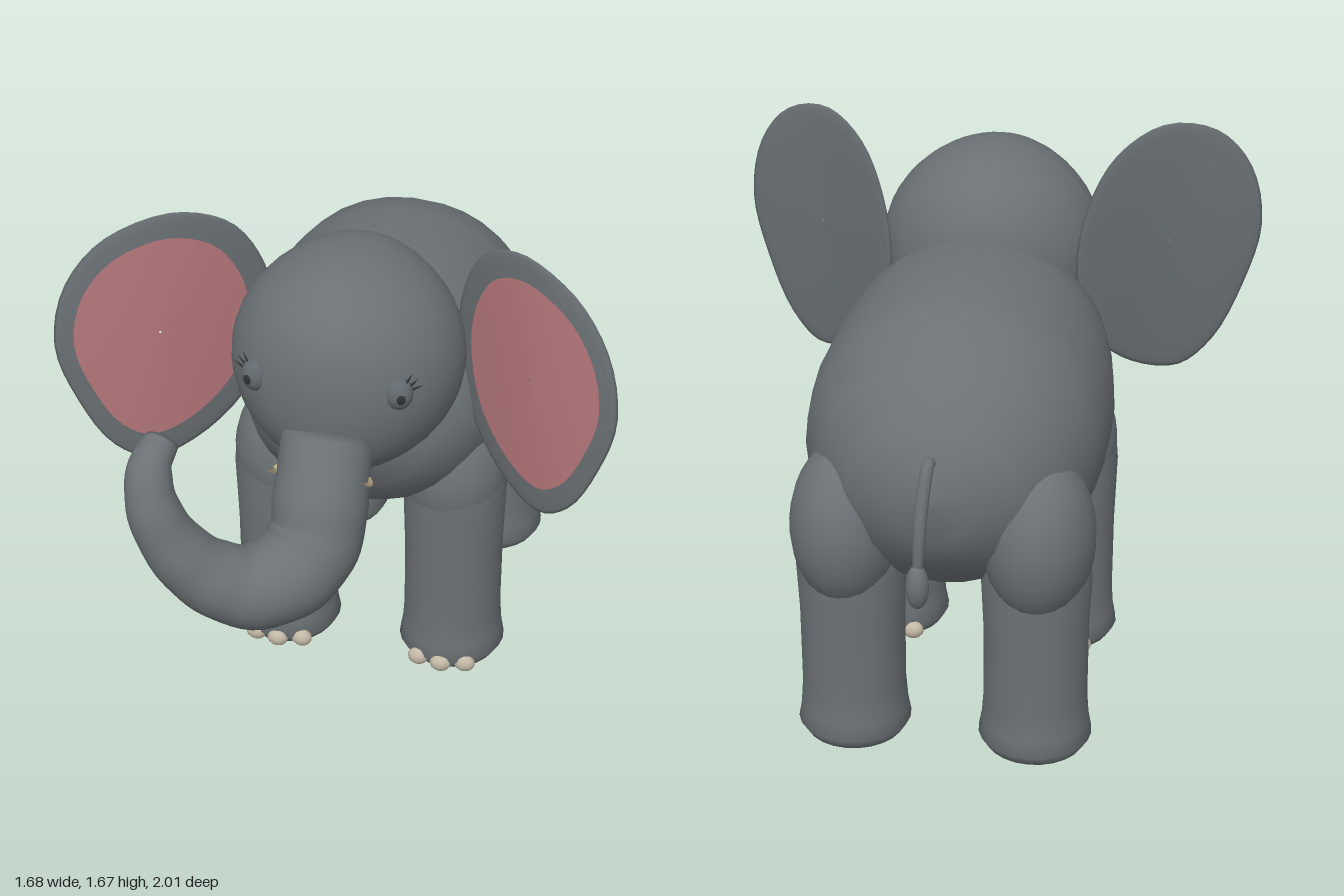
import * as THREE from 'three';

const V = (x, y, z) => new THREE.Vector3(x, y, z);
const mat = (name, color, side = THREE.FrontSide) => {
  const m = new THREE.MeshStandardMaterial({ color, side });
  m.name = name;
  return m;
};

// Skin over a list of closed rings, each counter-clockwise about the sweep direction
function loft(rings, caps = true) {
  const n = rings[0].length, pts = rings.flat(), index = [];
  for (let i = 0; i < rings.length - 1; i++) {
    for (let k = 0; k < n; k++) {
      const a = i * n + k, b = i * n + (k + 1) % n;
      index.push(a, b, a + n, b, b + n, a + n);
    }
  }
  if (caps) {
    const last = (rings.length - 1) * n;
    for (let k = 1; k < n - 1; k++) index.push(0, k + 1, k, last, last + k, last + k + 1);
  }
  const g = new THREE.BufferGeometry().setFromPoints(pts);
  g.setIndex(index);
  g.computeVertexNormals();
  return g;
}

// Tube of changing radius along a smooth path of [x, y, z, radius]
function taperTube(stations, steps, sides, ripple) {
  const path = new THREE.CatmullRomCurve3(stations.map(s => V(s[0], s[1], s[2])));
  const radii = new THREE.SplineCurve(stations.map((s, i) => new THREE.Vector2(i, s[3])));
  const frames = path.computeFrenetFrames(steps);
  const rings = [];
  for (let i = 0; i <= steps; i++) {
    const t = i / steps, p = path.getPoint(t);
    // frames are spaced by arc length, so build a local frame at the same parameter
    const tangent = path.getTangent(t);
    const side = frames.normals[i].clone().addScaledVector(tangent, -frames.normals[i].dot(tangent)).normalize();
    const up = tangent.clone().cross(side);
    const r = radii.getPoint(t).y * (1 + ripple * Math.sin(t * 60));
    rings.push(Array.from({ length: sides }, (_, k) => {
      const a = k / sides * Math.PI * 2;
      return p.clone().addScaledVector(side, r * Math.cos(a)).addScaledVector(up, r * Math.sin(a));
    }));
  }
  return { geometry: loft(rings), end: path.getPoint(1), tangent: path.getTangent(1) };
}

export function createModel() {
  const model = new THREE.Group();
  model.name = 'elephant';
  const skin = mat('grey skin', 0x6b7175);
  const pink = mat('inner pink', 0xb8797d, THREE.DoubleSide);
  const nail = mat('toenail cream', 0xc2b8a6);
  const ivory = mat('tusk ivory', 0xd8c9a0);
  const eyeGrey = mat('eye grey', 0x62696e);
  const dark = mat('lash dark', 0x303336);

  const add = (name, geometry, material, parent = model) => {
    const m = new THREE.Mesh(geometry, material);
    m.name = name;
    parent.add(m);
    return m;
  };
  const ellipsoid = (name, material, pos, size, seg = 16) => {
    const m = add(name, new THREE.SphereGeometry(1, seg, Math.ceil(seg * 0.7)), material);
    m.position.set(...pos);
    m.scale.set(...size);
    return m;
  };

  // Body: oval sections [z, half width, top, bottom] from rump to chest
  const sections = [
    [-0.885, 0.01, 0.94, 0.92], [-0.87, 0.12, 1.04, 0.8], [-0.82, 0.25, 1.15, 0.69],
    [-0.7, 0.36, 1.27, 0.58], [-0.55, 0.43, 1.355, 0.51], [-0.4, 0.45, 1.39, 0.49],
    [-0.2, 0.45, 1.395, 0.495], [-0.05, 0.43, 1.4, 0.54], [0.08, 0.4, 1.37, 0.6],
    [0.2, 0.34, 1.28, 0.68], [0.28, 0.24, 1.15, 0.79], [0.33, 0.02, 0.97, 0.93],
  ];
  add('body', loft(sections.map(([z, w, top, bottom]) =>
    Array.from({ length: 32 }, (_, k) => {
      const a = k / 32 * Math.PI * 2;
      return V(w * Math.cos(a), (top + bottom) / 2 + (top - bottom) / 2 * Math.sin(a), z);
    }))), skin);

  // Head: a sphere swollen slightly toward a box in side profile
  const head = new THREE.SphereGeometry(1, 36, 24);
  const hp = head.attributes.position;
  for (let i = 0; i < hp.count; i++) {
    const y = hp.getY(i), z = hp.getZ(i);
    const swell = 1 + 0.28 * y * y * z * z;
    hp.setXYZ(i, hp.getX(i) * 0.35, 1.27 + y * 0.34 * swell, 0.28 + z * 0.34 * swell);
  }
  head.computeVertexNormals();
  add('head', head, skin);

  // Trunk: hangs forward, sweeps to the right and curls up
  const trunk = taperTube([
    [0, 1.13, 0.53, 0.135], [0.005, 0.99, 0.63, 0.14], [0, 0.87, 0.69, 0.14], [-0.05, 0.795, 0.76, 0.137],
    [-0.15, 0.77, 0.83, 0.127], [-0.26, 0.83, 0.885, 0.11], [-0.35, 0.94, 0.92, 0.092],
    [-0.41, 1.08, 0.925, 0.076], [-0.425, 1.18, 0.885, 0.064], [-0.41, 1.225, 0.81, 0.05],
  ], 60, 24, 0.012);
  add('trunk', trunk.geometry, skin);
  const tip = add('trunkTip', new THREE.CircleGeometry(0.04, 16), pink);
  tip.position.copy(trunk.end).addScaledVector(trunk.tangent, 0.003);
  tip.quaternion.setFromUnitVectors(V(0, 0, 1), trunk.tangent);

  // Ears: lens-thin leaves bowed forward, pink on the front
  const outline = new THREE.CatmullRomCurve3([
    [0.84, 1.3], [0.8, 1.5], [0.69, 1.635], [0.53, 1.68], [0.4, 1.615], [0.32, 1.47],
    [0.29, 1.27], [0.34, 1.04], [0.46, 0.9], [0.6, 0.85], [0.7, 0.92], [0.79, 1.1],
  ].map(([x, y]) => V(x, y, 0)), true);
  const earRing = (s, r, face) => Array.from({ length: 48 }, (_, k) => {
    const p = outline.getPoint(((s * k / 48) + 1) % 1);
    const x = 0.56 + (p.x - 0.56) * r, y = 1.3 + (p.y - 1.3) * r;
    const t = (x - 0.29) / 0.55;
    const z = 0.085 + 0.425 * t + 0.045 * Math.sin(Math.PI * t) + face * 0.024 * Math.sqrt(1 - r * r);
    return V(s * x, y, z);
  });

  // Legs: rounded top, straight shaft, slightly flared foot
  const legProfile = h => [
    [0.001, 0.01], [0.1, 0.015], [0.15, 0.035], [0.172, 0.07], [0.163, 0.12], [0.157, 0.2],
    [0.158, 0.45], [0.165, h - 0.25], [0.155, h - 0.14], [0.11, h - 0.04], [0.001, h],
  ].map(([x, y]) => new THREE.Vector2(x, y));

  for (const s of [1, -1]) {
    const side = s > 0 ? 'left' : 'right';
    add(side + 'Ear', loft([
      ...[0.01, 0.4, 0.7, 0.9, 0.97].map(r => earRing(s, r, -1)),
      ...[1, 0.97, 0.9, 0.8].map(r => earRing(s, r, 1)),
    ], false), skin);
    add(side + 'InnerEar', loft([0.8, 0.6, 0.3, 0.01].map(r => earRing(s, r, 1)), false), pink);

    add(side + 'FrontLeg', new THREE.LatheGeometry(legProfile(0.92), 24), skin).position.set(s * 0.278, 0, 0.02);
    add(side + 'HindLeg', new THREE.LatheGeometry(legProfile(0.85), 24), skin).position.set(s * 0.278, 0, -0.65);
    ellipsoid(side + 'Hip', skin, [s * 0.285, 0.74, -0.665], [0.168, 0.26, 0.205], 24);
    ellipsoid(side + 'Shoulder', skin, [s * 0.275, 0.72, 0.02], [0.165, 0.24, 0.17], 24);

    // Toenails on the fore and rear faces of the front feet
    for (const [k, dz] of [[-1, 0.145], [0, 0.163], [1, 0.145]]) {
      for (const f of [1, -1]) {
        ellipsoid(side + 'Toenail', nail, [s * 0.275 + k * 0.077, 0.06, 0.02 + f * dz], [0.035, 0.03, 0.025], 12);
      }
    }

    // Eye, pupil and lashes
    const eye = new THREE.Group();
    eye.name = side + 'Eye';
    eye.position.set(s * 0.214, 1.31, 0.537);
    eye.rotation.y = s * 0.4;
    model.add(eye);
    add('eyeball', new THREE.SphereGeometry(1, 18, 12), eyeGrey, eye).scale.set(0.042, 0.05, 0.038);
    const pupil = add('pupil', new THREE.SphereGeometry(1, 14, 8), dark, eye);
    pupil.scale.set(0.013, 0.016, 0.004);
    pupil.position.z = 0.037;
    for (let i = 0; i < 3; i++) {
      const lash = add('eyelash', new THREE.ConeGeometry(0.005, 0.04, 5), dark, eye);
      const a = 0.35 + i * 0.35;
      lash.position.set(s * 0.056 * Math.cos(a), 0.06 * Math.sin(a), 0.008);
      lash.rotation.z = s * (a - Math.PI / 2);
    }

    // Small curved tusk beside the trunk
    const tusk = new THREE.CatmullRomCurve3([V(s * 0.125, 1.03, 0.57), V(s * 0.145, 1.035, 0.61), V(s * 0.142, 1.075, 0.65)]);
    add(side + 'Tusk', new THREE.TubeGeometry(tusk, 10, 0.011, 8), ivory);
  }

  // Tail with a tuft
  add('tail', taperTube([
    [0, 1.05, -0.85, 0.018], [0, 1.055, -0.89, 0.018], [0.01, 0.96, -0.93, 0.02],
    [0.015, 0.85, -0.955, 0.018], [0.02, 0.74, -0.96, 0.015],
  ], 20, 10, 0).geometry, skin);
  ellipsoid('tailTuft', skin, [0.02, 0.71, -0.962], [0.034, 0.07, 0.036], 14);

  return model;
}
